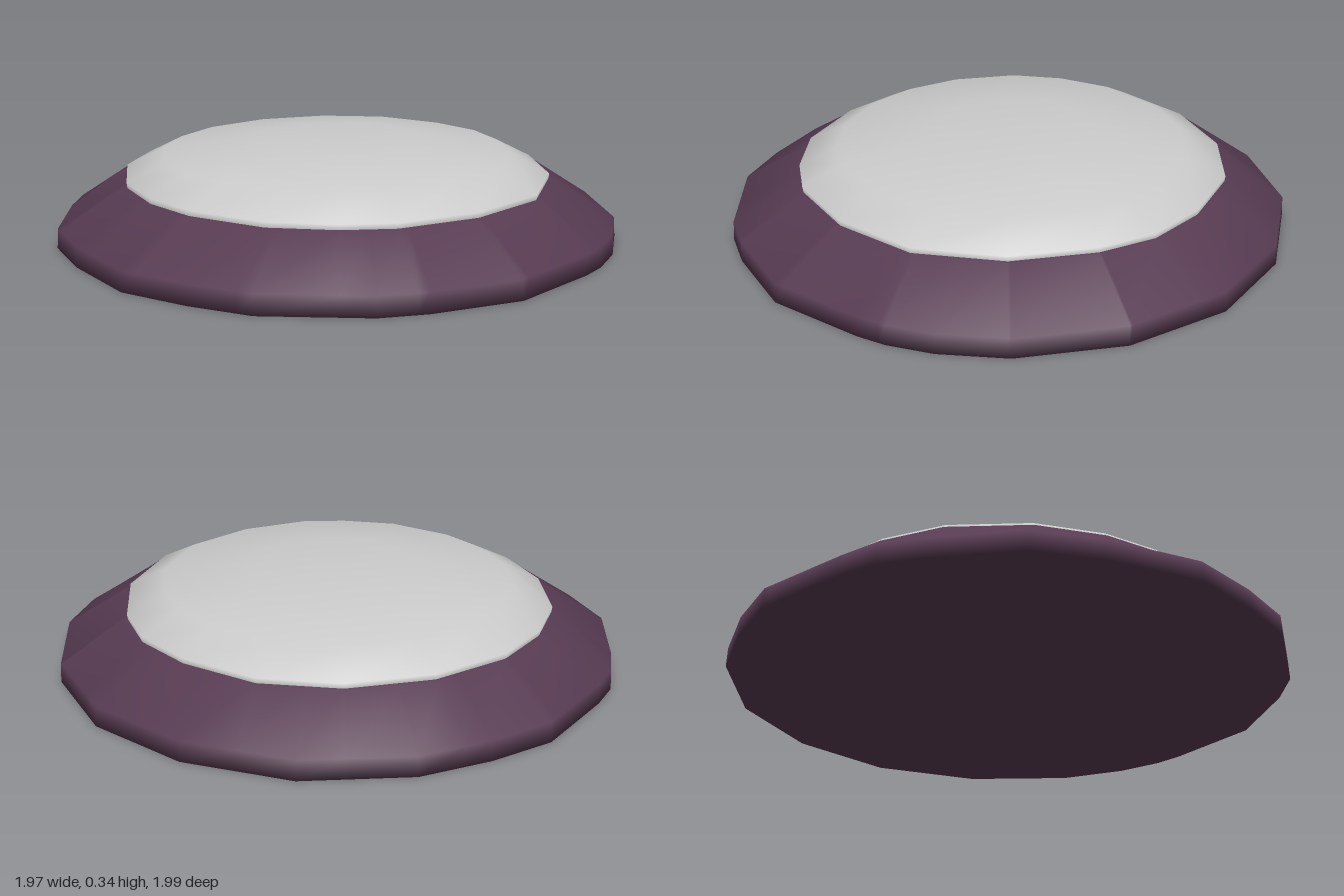
import * as THREE from 'three';

// Slightly irregular hand-cut outlines as [x, z] corners
const RIM = [
  [0.02, 0.99], [0.37, 0.9], [0.47, 0.86], [0.61, 0.77], [0.78, 0.6], [0.95, 0.26], [0.985, -0.13],
  [0.86, -0.5], [0.61, -0.8], [0.27, -0.97], [0.01, -1], [-0.23, -0.99], [-0.55, -0.84], [-0.66, -0.77],
  [-0.76, -0.65], [-0.94, -0.38], [-0.985, -0.13], [-0.985, 0.2], [-0.88, 0.44], [-0.76, 0.64],
  [-0.46, 0.87], [-0.3, 0.93],
];
const DOME = [
  [0.04, 0.74], [0.345, 0.67], [0.585, 0.46], [0.72, 0.19], [0.76, -0.02], [0.72, -0.25], [0.59, -0.51],
  [0.37, -0.69], [0.08, -0.78], [-0.21, -0.76], [-0.425, -0.66], [-0.595, -0.51], [-0.725, -0.26],
  [-0.76, -0.02], [-0.73, 0.19], [-0.6, 0.45], [-0.42, 0.61], [-0.255, 0.7],
];

const angleOf = ([x, z]) => Math.atan2(x, z);

// Where a ray from the centre at angle a crosses the outline
function pointAt(outline, a) {
  const dx = Math.sin(a), dz = Math.cos(a);
  let r = 0;
  outline.forEach(([x0, z0], i) => {
    const [x1, z1] = outline[(i + 1) % outline.length];
    const ex = x1 - x0, ez = z1 - z0;
    const det = dx * ez - dz * ex;
    if (Math.abs(det) < 1e-9) return;
    const t = (x0 * ez - z0 * ex) / det;
    const s = (x0 * dz - z0 * dx) / det;
    if (t > 0 && s > -1e-6 && s < 1 + 1e-6) r = Math.max(r, t);
  });
  return [dx * r, dz * r];
}

// Skin equal-length rings from bottom to top, capping each end with a centre point
function loft(rings, capZ) {
  const n = rings[0].points.length;
  const pos = [], index = [];
  for (const { y, points } of rings) for (const [x, z] of points) pos.push(x, y, z);
  for (let k = 0; k < rings.length - 1; k++) {
    for (let i = 0; i < n; i++) {
      const a = k * n + i, b = k * n + (i + 1) % n;
      index.push(a, b, b + n, a, b + n, a + n);
    }
  }
  const low = pos.length / 3, high = low + 1, last = (rings.length - 1) * n;
  pos.push(0, rings[0].y, capZ, 0, rings[rings.length - 1].y, capZ);
  for (let i = 0; i < n; i++) {
    const j = (i + 1) % n;
    index.push(low, j, i, high, last + i, last + j);
  }
  const geo = new THREE.BufferGeometry();
  geo.setAttribute('position', new THREE.Float32BufferAttribute(pos, 3));
  geo.setIndex(index);
  geo.computeVertexNormals();
  return geo;
}

function addPart(group, name, geometry, color) {
  const mesh = new THREE.Mesh(geometry, new THREE.MeshStandardMaterial({ color }));
  mesh.name = name;
  group.add(mesh);
}

export function createModel() {
  const group = new THREE.Group();
  group.name = 'domedDisc';

  // Shared angles keep the corners of both outlines
  const angles = [...RIM, ...DOME].map(angleOf).sort((a, b) => a - b)
    .filter((a, i, all) => i === 0 || a - all[i - 1] > 1e-4);
  const scaled = (points, s, cz = 0) => points.map(([x, z]) => [x * s, cz + (z - cz) * s]);
  const outer = angles.map((a) => pointAt(RIM, a));
  const inner = angles.map((a) => pointAt(DOME, a));

  // Sloping base with a low upright edge and a lip around the dome
  addPart(group, 'baseRim', loft([
    { y: 0, points: outer },
    { y: 0.07, points: scaled(outer, 0.997) },
    { y: 0.215, points: scaled(inner, 1.02) },
    { y: 0.205, points: scaled(inner, 0.96) },
  ], 0), 0x573b52);

  // Shallow dome, almost flat on top
  const cz = -0.02;
  addPart(group, 'dome', loft([
    { y: 0.18, points: scaled(DOME, 0.99, cz) },
    { y: 0.23, points: scaled(DOME, 1, cz) },
    { y: 0.3, points: scaled(DOME, 0.82, cz) },
    { y: 0.34, points: scaled(DOME, 0.4, cz) },
  ], cz), 0xcccccc);

  return group;
}
